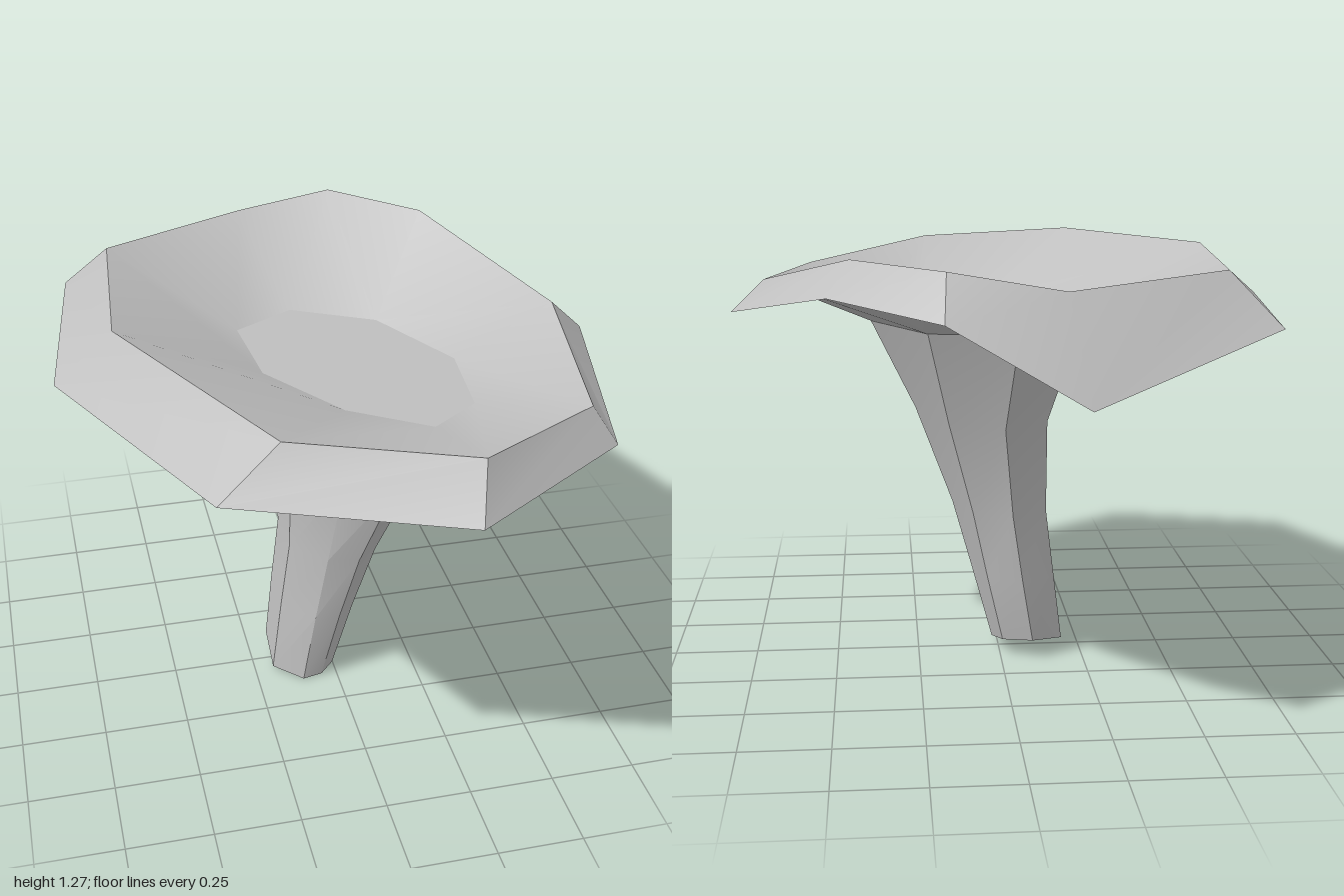
import * as THREE from 'three';
import { toCreasedNormals } from 'three/addons/utils/BufferGeometryUtils.js';

const grey = new THREE.MeshStandardMaterial({ color: 0xc0c0c0, side: THREE.DoubleSide });
grey.name = 'plain grey';

// Lip of the bowl and the drooping outer edge, clockwise seen from above
const lip = [[-0.11, 1.215, -0.82], [0.19, 1.265, -0.81], [0.43, 1.27, -0.55], [0.69, 1.16, -0.02],
  [0.58, 1.145, 0.59], [0.19, 1.205, 0.88], [-0.29, 1.24, 0.75], [-0.62, 1.25, 0.07], [-0.57, 1.235, -0.55]];
const edge = [[-0.15, 0.95, -1], [0.2, 1.15, -0.93], [0.49, 1.18, -0.64], [0.79, 1.065, -0.03],
  [0.63, 1.06, 0.66], [0.15, 1.08, 1], [-0.46, 1.108, 0.8], [-0.79, 1.098, 0.06], [-0.7, 1.09, -0.65]];

// Stem top outline (x, z), and angles of the matching corners at the foot
const topXZ = [[-0.03, -0.39], [0.22, -0.28], [0.38, 0.02], [0.35, 0.31],
  [0.2, 0.43], [-0.02, 0.3], [-0.2, 0.04], [-0.22, -0.26]];
const footAngles = [-90, -40, 5, 38, 66, 97, 150, 215];

// Stem sections: centre x, y, z, half width, half depth, tilt in x, tilt in z, roundness
const sections = [
  [-0.095, 0.03, 0, 0.115, 0.135, 0, -0.22, 1],
  [-0.05, 0.25, 0, 0.13, 0.165, 0, -0.03, 0.75],
  [-0.005, 0.465, 0.015, 0.145, 0.185, 0, 0.02, 0.5],
  [0.055, 0.76, 0.025, 0.195, 0.275, 0, 0.06, 0.2],
  [0.08, 1.043, 0.02, 0.3, 0.41, -0.05, 0.015, 0],
];
const rings = sections.map(([cx, cy, cz, w, d, tx, tz, round]) => topXZ.map(([x, z], i) => {
  const a = THREE.MathUtils.degToRad(footAngles[i]);
  const dx = w * THREE.MathUtils.lerp((x - 0.08) / 0.3, Math.cos(a), round);
  const dz = d * THREE.MathUtils.lerp((z - 0.02) / 0.41, Math.sin(a), round);
  return [cx + dx, Math.max(0, cy + tx * dx + tz * dz), cz + dz];
}));
const top = rings[rings.length - 1];

// Band of faces between two rings, leaving out faces that collapse
function band(lower, upper) {
  const out = [];
  const tri = (a, b, c) => { if (a !== b && b !== c && a !== c) out.push(...a, ...b, ...c); };
  lower.forEach((a, i) => {
    const j = (i + 1) % lower.length;
    tri(a, upper[i], lower[j]);
    tri(lower[j], upper[i], upper[j]);
  });
  return out;
}

// Flat lid over a ring
function lid(ring, up) {
  const c = [0, 1, 2].map(k => ring.reduce((s, p) => s + p[k], 0) / ring.length);
  return ring.flatMap((p, i) => {
    const q = ring[(i + 1) % ring.length];
    return up ? [...c, ...q, ...p] : [...c, ...p, ...q];
  });
}

function part(name, positions, crease) {
  const g = new THREE.BufferGeometry();
  g.setAttribute('position', new THREE.Float32BufferAttribute(positions, 3));
  const mesh = new THREE.Mesh(toCreasedNormals(g, crease), grey);
  mesh.name = name;
  return mesh;
}

export function createModel() {
  const model = new THREE.Group();
  model.name = 'funnelMushroom';

  // Stem with a closed foot
  const wall = rings.slice(1).flatMap((r, i) => band(rings[i], r));
  model.add(part('stem', [...wall, ...lid(rings[0], false)], 0.52));

  // Hollow cap: flat floor, sloping bowl and drooping rim
  const floor = [top[0], top[1], ...top.slice(1)]; // one corner serves two lip corners
  model.add(part('capFloor', lid(top, true), 0.52));
  model.add(part('capBowl', band(lip, floor), 0.52));
  model.add(part('capRim', band(edge, lip), 0.52));
  return model;
}
